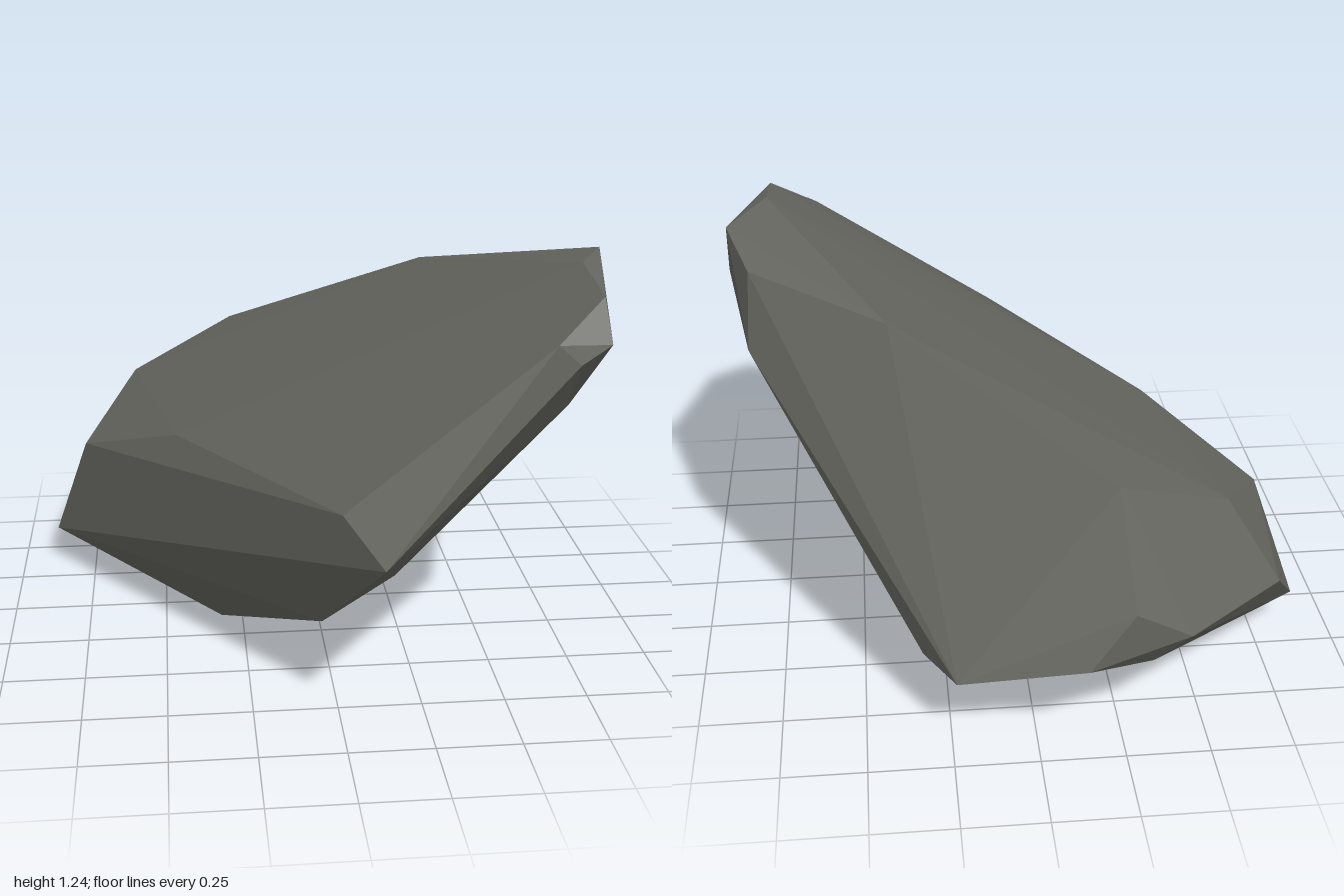
import * as THREE from 'three';
import { ConvexGeometry } from 'three/addons/geometries/ConvexGeometry.js';

// Corners of the boulder, grouped from the crest down to the base
const crest = [
  [0.61, 1.09, 0.735], [0.76, 1.2, 0.635], [0.76, 1.09, 0.74], [0.76, 1.24, 0.385],
  [0.875, 1.23, 0.15], [0.88, 1.07, 0.195], [0.8, 1.17, -0.07], [0.81, 0.95, -0.16],
  [0.39, 1.097, -0.325], [0.69, 0.86, 0.57],
];
const shoulder = [
  [-0.24, 0.78, -0.785], [-0.59, 0.63, -0.635], [0, 0.65, 0.835], [-0.45, 0.63, 0.08],
  [0.1, 0.55, 1], [-0.76, 0.48, -0.28], [-0.745, 0.38, -0.705], [-0.27, 0.47, -0.963],
  [-0.44, 0.36, -0.925], [-0.135, 0.31, -1],
];
const base = [
  [-0.88, 0.12, -0.4], [0.235, 0.235, -0.925], [0.325, 0.25, -0.79], [0.19, 0.337, 0.57],
  [-0.04, 0.245, 0.67], [-0.342, 0.245, -0.875], [-0.36, 0.05, -0.6], [-0.6, 0.03, -0.285],
  [-0.32, 0.03, 0.17], [-0.1, 0.027, 0.14], [-0.09, 0, -0.39],
];

// Front lip: joined to the hull slightly pulled in, then pushed out to leave a small notch
const lipInner = new THREE.Vector3(0.645, 1.0, 0.805);
const lipOuter = new THREE.Vector3(0.645, 1.065, 0.845);

export function createModel() {
  const group = new THREE.Group();
  group.name = 'rock';

  const stone = new THREE.MeshStandardMaterial({ color: 0x64645e });
  stone.name = 'dark grey stone';

  const points = [...crest, ...shoulder, ...base].map((p) => new THREE.Vector3(...p));
  const geometry = new ConvexGeometry([...points, lipInner.clone()]);

  const position = geometry.attributes.position;
  const corner = new THREE.Vector3();
  for (let i = 0; i < position.count; i++) {
    corner.fromBufferAttribute(position, i);
    if (corner.distanceTo(lipInner) < 0.001) position.setXYZ(i, lipOuter.x, lipOuter.y, lipOuter.z);
  }
  // Corners are not shared between faces, so this keeps the facets flat
  geometry.computeVertexNormals();

  const boulder = new THREE.Mesh(geometry, stone);
  boulder.name = 'boulder';
  group.add(boulder);
  return group;
}
